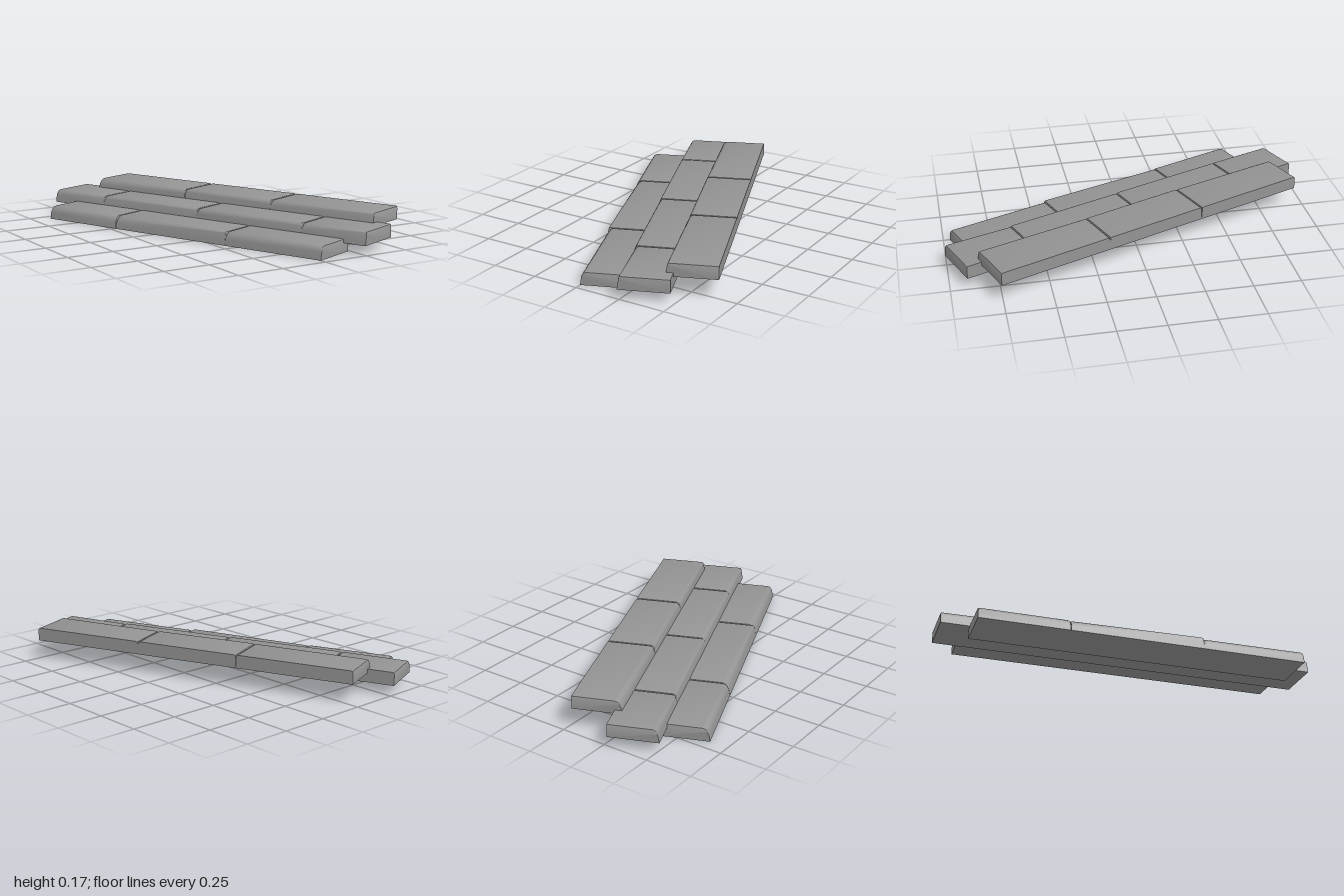
import * as THREE from 'three';
import { toCreasedNormals } from 'three/addons/utils/BufferGeometryUtils.js';

const W = 0.258, H = 0.07, BEVEL = 0.009, SLOT = 0.002, YAW = 0.3735;

// Cross-section of a step: slightly leaning, rounded nose on the low side, square at the back
function section(z, nose, drop) {
  const pts = [[0, 0]];
  const squash = (H - drop) / H;
  const steps = 5;
  for (let i = 0; i <= steps; i++) {
    const a = (i / steps) * Math.PI / 2;
    const y = H - nose * (1 - Math.sin(a));
    pts.push([0.01 * y / H + nose * 0.8 * (1 - Math.cos(a)), y * squash]);
  }
  pts.push([W, H - drop], [W, 0]);
  return pts.map(([x, y]) => [x, y, z]);
}

// One continuous course of stones, with bevelled ends and slots cut at the joints
function stepGeometry({ joints, depths, noses }) {
  const rings = [];
  noses.forEach(([a, b], i) => {
    const z0 = joints[i] + (i > 0 ? SLOT : 0);
    const z1 = joints[i + 1] - (i < noses.length - 1 ? SLOT : 0);
    if (i > 0) rings.push(section(z0, a, depths[i - 1]));
    rings.push(
      section(z0, a, BEVEL),
      section(z0 + BEVEL * 0.3, a, BEVEL * 0.3),
      section(z0 + BEVEL, a, 0),
      section(z1 - BEVEL, b, 0),
      section(z1 - BEVEL * 0.3, b, BEVEL * 0.3),
      section(z1, b, BEVEL),
    );
    if (i < noses.length - 1) rings.push(section(z1, b, depths[i]));
  });

  const n = rings[0].length, pos = [];
  const tri = (p, q, r) => pos.push(...p, ...q, ...r);
  for (let k = 0; k < rings.length - 1; k++) {
    const A = rings[k], B = rings[k + 1];
    for (let i = 0; i < n; i++) {
      const j = (i + 1) % n;
      tri(A[i], B[i], A[j]);
      tri(A[j], B[i], B[j]);
    }
  }
  // End caps, fanned from the square back corner
  const S = rings[0], E = rings[rings.length - 1], c = n - 1;
  for (let i = 0; i < n - 2; i++) {
    tri(S[c], S[i], S[i + 1]);
    tri(E[c], E[i + 1], E[i]);
  }
  const g = new THREE.BufferGeometry();
  g.setAttribute('position', new THREE.Float32BufferAttribute(pos, 3));
  return toCreasedNormals(g, 0.6);
}

// Each step: offset across, height, joint positions along it, slot depth of the
// inner joints, and the nose radius at both ends of each stone
const STEPS = [
  { name: 'lowerStep', x: -0.354, y: 0,
    joints: [-0.879, -0.399, 0.327, 0.898], depths: [0.06, 0.014],
    noses: [[0.035, 0.035], [0.045, 0.008], [0.04, 0.03]] },
  { name: 'middleStep', x: -0.143, y: 0.05,
    joints: [-1.033, -0.666, -0.01, 0.649, 1.022], depths: [0.014, 0.011, 0.014],
    noses: [[0.03, 0.02], [0.02, 0.015], [0.025, 0.02], [0.035, 0.008]] },
  { name: 'upperStep', x: 0.075, y: 0.1,
    joints: [-0.892, -0.259, 0.315, 0.94], depths: [0.06, 0.014],
    noses: [[0.04, 0.025], [0.02, 0.025], [0.03, 0.012]] },
];

export function createModel() {
  const model = new THREE.Group();
  model.name = 'stoneSteps';
  const stone = new THREE.MeshStandardMaterial({ color: 0x939393 });
  const flight = new THREE.Group();
  flight.name = 'flight';
  flight.rotation.y = YAW;
  model.add(flight);

  for (const s of STEPS) {
    const step = new THREE.Mesh(stepGeometry(s), stone);
    step.name = s.name;
    step.position.set(s.x, s.y, 0);
    flight.add(step);
  }
  return model;
}
